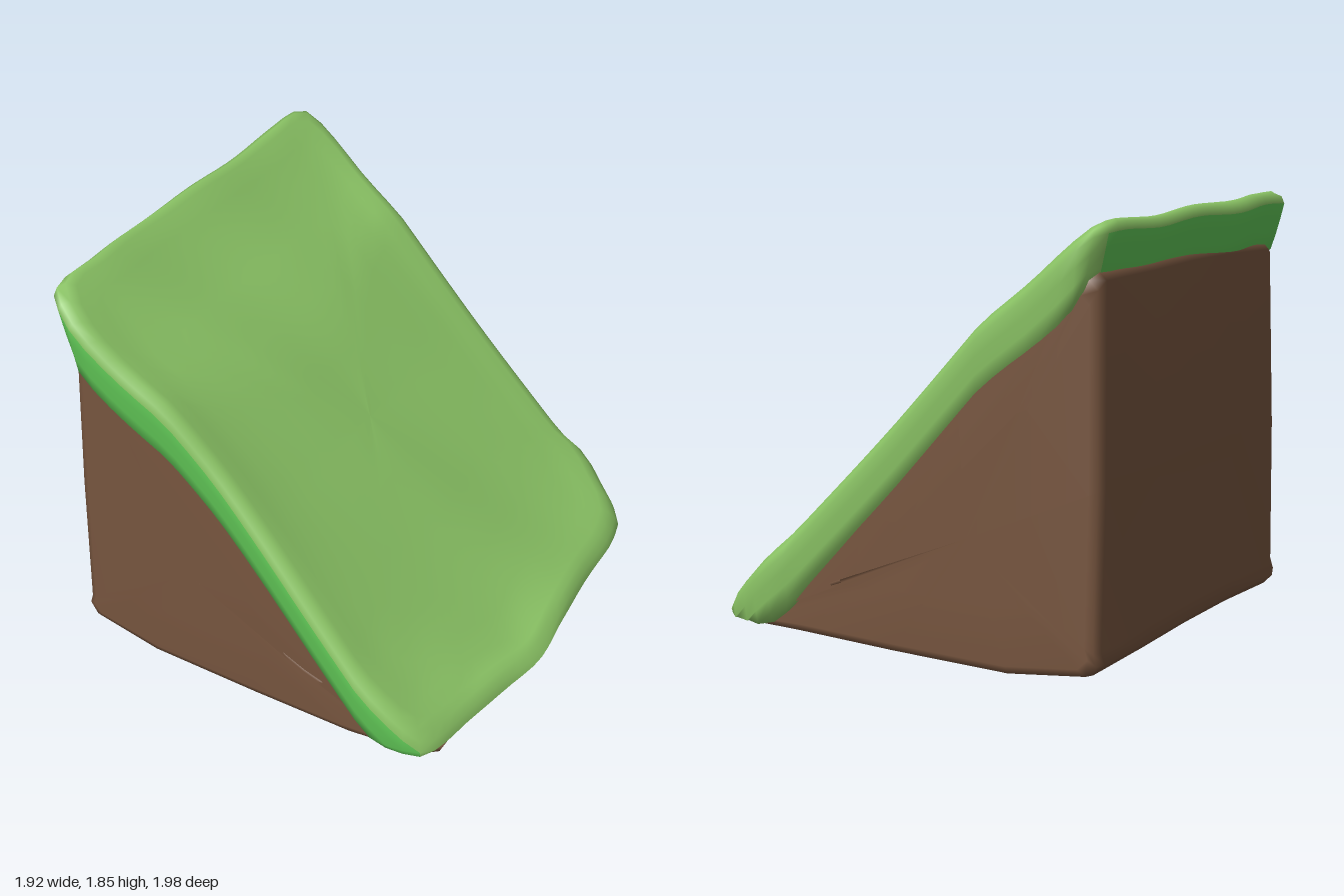
import * as THREE from 'three';

// Skin a list of closed rings; pick(i, r) chooses the material slot of each quad.
function skin(rings, materials, pick = () => 0) {
  const n = rings[0].length;
  const slots = materials.map(() => []);
  for (let r = 0; r < rings.length - 1; r++) {
    for (let i = 0; i < n; i++) {
      const j = (i + 1) % n;
      const a = r * n + i, b = r * n + j, c = a + n, d = b + n;
      slots[pick(i, r)].push(a, c, b, b, c, d);
    }
  }
  const geometry = new THREE.BufferGeometry().setFromPoints(rings.flat());
  geometry.setIndex(slots.flat());
  let start = 0;
  slots.forEach((s, k) => {
    geometry.addGroup(start, s.length, k);
    start += s.length;
  });
  geometry.computeVertexNormals();
  return new THREE.Mesh(geometry, materials);
}

// Height of the grass along x: a steep slope that flattens at its foot and crest
const slope = [
  [-1, 1.86], [-0.92, 1.85], [-0.85, 1.8], [-0.63, 1.6], [-0.4, 1.425],
  [0, 0.99], [0.53, 0.43], [0.83, 0.16], [0.93, 0.125], [1, 0.11],
];
function slopeY(x) {
  const k = slope.findIndex(([px]) => px >= x);
  const [x0, y0] = slope[k - 1], [x1, y1] = slope[k];
  return THREE.MathUtils.mapLinear(x, x0, x1, y0, y1);
}

export function createModel() {
  const group = new THREE.Group();
  const soil = new THREE.MeshStandardMaterial({ color: 0x74533d });
  const grass = new THREE.MeshStandardMaterial({ color: 0x8bc465 });
  const brightGrass = new THREE.MeshStandardMaterial({ color: 0x5fc455 });
  soil.name = 'soil brown';
  grass.name = 'grass green';
  brightGrass.name = 'bright grass green';

  // Soil wedge: triangular profile lofted from front to back with soft edges
  const profile = [
    [-0.93, 0.14], [-0.945, 0.09], [-0.9, 0.045], [-0.55, 0.01], [0, 0.025],
    [0.5, 0.045], [0.8, 0.03], [0.85, 0.035], [0.86, 0.06], [0.7, 0.085],
    [0.2, 0.595], [-0.3, 1.11], [-0.8, 1.61], [-0.88, 1.64], [-0.92, 1.6], [-0.935, 0.8],
  ];
  // [z, scale about the middle, vertical shift]
  const slices = [
    [0.895, 0, 0], [0.895, 0.5, 0], [0.895, 0.92, 0], [0.885, 0.975, 0], [0.84, 1, -0.01],
    [0.4, 1, 0.01], [0, 1, 0.015], [-0.4, 1, 0.01], [-0.84, 1, 0.01],
    [-0.88, 0.975, 0], [-0.89, 0.92, 0], [-0.89, 0.5, 0], [-0.89, 0, 0],
  ];
  const soilRings = slices.map(([z, s, dy]) => profile.map(([px, py]) => {
    const x = -0.35 + (px + 0.35) * s;
    const y = 0.55 + (py - 0.55) * s + dy;
    // the sides lean in towards the crest and pinch at the toe and the upright wall
    const lean = (z > 0 ? 0.045 : 0.03) * (1 - y)
      - 0.09 * Math.max(0, (x - 0.4) / 0.45) ** 2
      - 0.025 * Math.max(0, (-0.7 - x) / 0.25) ** 2;
    return new THREE.Vector3(x, y, z + Math.sign(z) * lean);
  }));
  const wedge = skin(soilRings, [soil]);
  wedge.name = 'soilWedge';
  group.add(wedge);

  // Grass blanket: uneven outline in plan (x, z), draped over the slope
  const outline = [
    [-0.95, 0.92], [-0.83, 0.985], [-0.6, 0.97], [-0.4, 0.94], [-0.2, 0.92], [0, 0.925],
    [0.2, 0.94], [0.4, 0.955], [0.6, 0.965], [0.78, 0.93], [0.84, 0.89],
    [0.89, 0.6], [0.93, 0.35], [0.965, 0.12], [0.93, -0.15], [0.89, -0.5], [0.87, -0.78],
    [0.83, -0.9], [0.72, -0.95], [0.6, -0.99], [0.5, -0.955], [0.3, -0.94], [0, -0.925],
    [-0.3, -0.91], [-0.55, -0.9], [-0.8, -0.905], [-0.92, -0.87],
    [-0.945, -0.6], [-0.945, -0.2], [-0.955, 0.1], [-0.97, 0.45], [-0.955, 0.7],
  ];
  const rim = new THREE.CatmullRomCurve3(
    outline.map(([x, z]) => new THREE.Vector3(x, 0, z)), true).getSpacedPoints(96).slice(0, 96);
  // [inset, drop below the slope], from the middle over the rim and underneath
  const layers = [
    [1, 0.03], [0.8, 0.03], [0.6, 0.03], [0.4, 0.03], [0.25, 0.025], [0.15, 0.015], [0.08, 0],
    [0.045, 0.005], [0.015, 0.03], [0, 0.065], [0.004, 0.13], [0.01, 0.2], [0.018, 0.265],
    [0.08, 0.31], [0.25, 0.27],
  ];
  const grassRings = layers.map(([inset, drop]) => rim.map((p) => {
    const x = p.x * (1 - inset), z = p.z * (1 - inset);
    const ripple = 0.008 * Math.sin(9 * z + 5 * x);
    const y = Math.max(0.072, slopeY(x) - drop + ripple);
    // below the crest the overhang tucks back to the upright wall
    const tuck = 0.18 * drop * THREE.MathUtils.clamp((-x - 0.8) / 0.1, 0, 1);
    return new THREE.Vector3(x + tuck, y, z);
  }));
  // The front and left-hand overhangs carry the brighter green
  const blanket = skin(grassRings, [grass, brightGrass],
    (i, r) => (r >= 9 && rim[i].z - rim[i].x > 0.1 ? 1 : 0));
  blanket.name = 'grassBlanket';
  group.add(blanket);

  return group;
}
